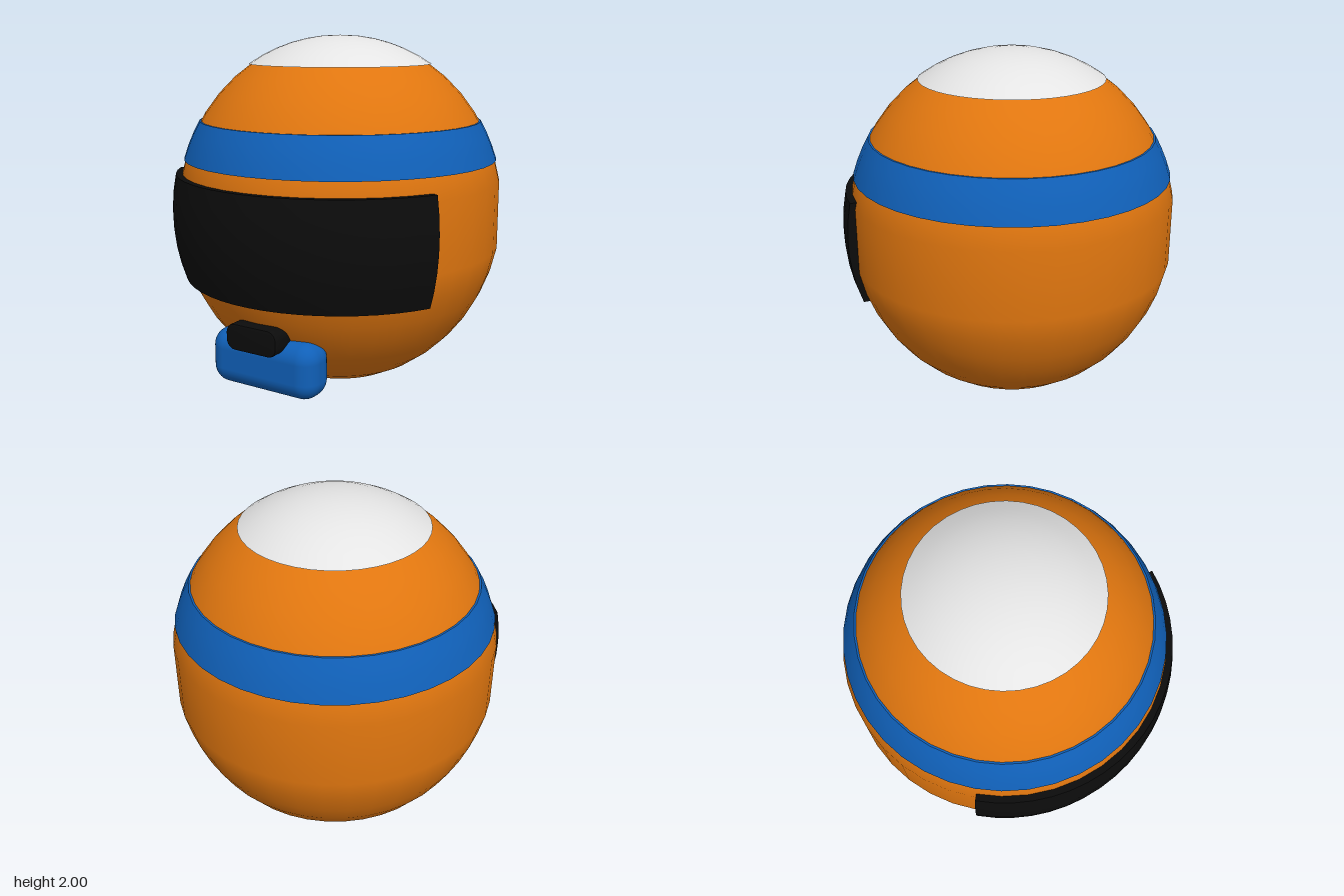
import * as THREE from 'three';
import { toCreasedNormals } from 'three/addons/utils/BufferGeometryUtils.js';
import { RoundedBoxGeometry } from 'three/addons/geometries/RoundedBoxGeometry.js';

const SEGMENTS = 40;
const RADIUS = 0.935; // horizontal radius of the shell; the vertical radius is 1
const CENTER_Z = -0.018;

const shellRadius = (y) => RADIUS * Math.sqrt(Math.max(0, 1 - (y - 1) ** 2));

// Points along the shell from y0 up to y1, pushed outward by offset
function shellCurve(y0, y1, offset, steps) {
  const a0 = Math.asin(y0 - 1), a1 = Math.asin(y1 - 1);
  return Array.from({ length: steps + 1 }, (_, i) => {
    const y = 1 + Math.sin(a0 + ((a1 - a0) * i) / steps);
    return new THREE.Vector2(shellRadius(y) + offset, y);
  });
}

// Closed cross-section of a plate lying on the shell
function plateProfile(y0, y1, offset, steps) {
  const outer = shellCurve(y0, y1, offset, steps);
  const inner = (p) => new THREE.Vector2(shellRadius(p.y) - 0.03, p.y);
  return [inner(outer[0]), ...outer, inner(outer[steps])];
}

function roundedRect(w, h, r) {
  const s = new THREE.Shape();
  s.absarc(w / 2 - r, h / 2 - r, r, 0, Math.PI / 2);
  s.absarc(r - w / 2, h / 2 - r, r, Math.PI / 2, Math.PI);
  s.absarc(r - w / 2, r - h / 2, r, Math.PI, Math.PI * 1.5);
  s.absarc(w / 2 - r, r - h / 2, r, Math.PI * 1.5, Math.PI * 2);
  s.closePath();
  return s;
}

export function createModel() {
  const group = new THREE.Group();
  const material = (name, color, side = THREE.FrontSide) => {
    const m = new THREE.MeshStandardMaterial({ color, side });
    m.name = name;
    return m;
  };
  const orange = material('orange', 0xe0760f);
  const blue = material('blue', 0x1060b8);
  const white = material('white', 0xe4e4e4);
  const black = material('black', 0x0c0c0c, THREE.DoubleSide);

  const add = (name, geometry, mat, x = 0, y = 0, z = CENTER_Z) => {
    const mesh = new THREE.Mesh(geometry, mat);
    mesh.name = name;
    mesh.position.set(x, y, z);
    group.add(mesh);
    return mesh;
  };

  // Round shell, with a straight-sided ring around its middle
  const shell = [
    ...shellCurve(0.005, 0.81, 0, 9),
    ...shellCurve(1.19, 1.99, 0, 9),
  ];
  shell[0].x = shell[shell.length - 1].x = 0;
  add('shell', new THREE.LatheGeometry(shell, SEGMENTS), orange);

  // Raised stripe around the forehead
  const stripe = new THREE.LatheGeometry(plateProfile(1.31, 1.525, 0.008, 3), SEGMENTS);
  add('stripe', toCreasedNormals(stripe, 0.7), blue);

  // Pale crown on top
  const crownCurve = shellCurve(1.84, 2, 0.012, 6);
  crownCurve[6].x = 0;
  const crown = [new THREE.Vector2(0.47, 1.84), ...crownCurve];
  add('crown', toCreasedNormals(new THREE.LatheGeometry(crown, SEGMENTS), 0.7), white);

  // Wrap-around visor with closed ends
  const halfAngle = THREE.MathUtils.degToRad(62.5);
  const profile = plateProfile(0.63, 1.23, 0.034, 6);
  const visor = new THREE.LatheGeometry(profile, 20, -halfAngle, halfAngle * 2);
  add('visor', toCreasedNormals(visor, 0.7), black);
  for (const side of [-1, 1]) {
    const end = new THREE.ShapeGeometry(new THREE.Shape(profile));
    end.rotateY(side * halfAngle - Math.PI / 2);
    add(side > 0 ? 'visorEndLeft' : 'visorEndRight', end, black);
  }

  // Chin guard and the vent above it
  add('chinGuard', new RoundedBoxGeometry(0.67, 0.31, 0.23, 5, 0.1), blue, 0, 0.285, 0.7);
  const vent = new THREE.ExtrudeGeometry(roundedRect(0.32, 0.145, 0.055), {
    depth: 0.14, bevelEnabled: true, bevelThickness: 0.01, bevelSize: 0.01,
    bevelOffset: -0.01, bevelSegments: 2, curveSegments: 6,
  });
  add('chinVent', toCreasedNormals(vent, 0.7), black, 0, 0.448, 0.72);

  return group;
}
